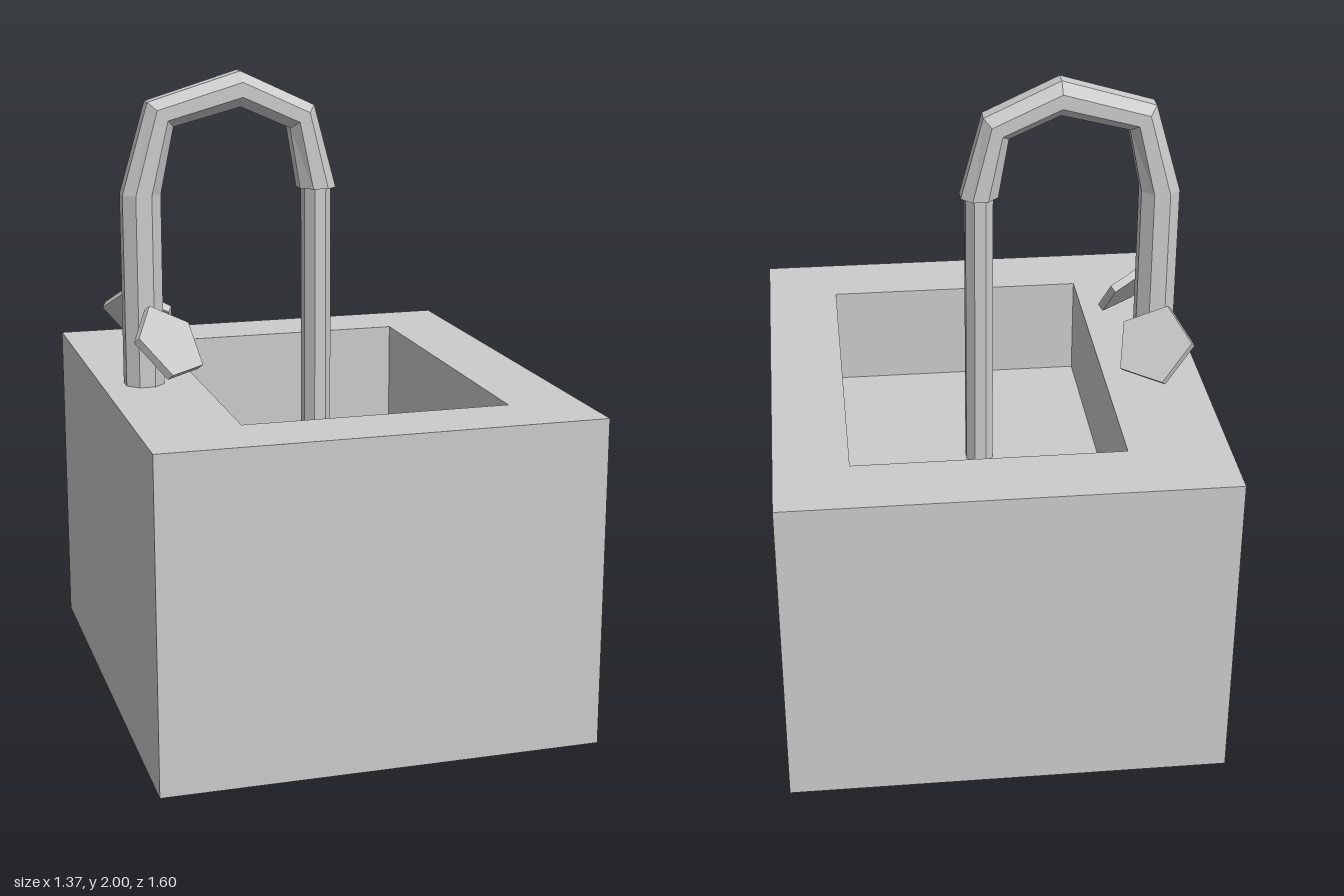
import * as THREE from 'three';

const material = new THREE.MeshStandardMaterial({
  color: 0xcccccc, flatShading: true, side: THREE.DoubleSide,
});

function part(name, geometry) {
  const mesh = new THREE.Mesh(geometry, material);
  mesh.name = name;
  return mesh;
}

// Four upright walls around a rectangle, open above and below
function walls(x0, x1, z0, z1, y0, y1) {
  return new THREE.CylinderGeometry(Math.SQRT1_2, Math.SQRT1_2, 1, 4, 1, true)
    .rotateY(Math.PI / 4)
    .scale(x1 - x0, y1 - y0, z1 - z0)
    .translate((x0 + x1) / 2, (y0 + y1) / 2, (z0 + z1) / 2);
}

function rectangle(target, x0, x1, z0, z1) {
  target.moveTo(x0, z0).lineTo(x1, z0).lineTo(x1, z1).lineTo(x0, z1).closePath();
  return target;
}

// Octagonal pipe between an outer and an inner rail: [outerX, outerY, innerX, innerY]
function pipe(rails, halfDepth) {
  const sides = 8, positions = [], index = [];
  const k = 1 / Math.cos(Math.PI / sides);
  rails.forEach(([ox, oy, ix, iy], r) => {
    for (let i = 0; i < sides; i++) {
      const a = ((i + 0.5) / sides) * Math.PI * 2;
      const c = 0.5 * k * Math.cos(a);
      positions.push((ox + ix) / 2 + (ox - ix) * c, (oy + iy) / 2 + (oy - iy) * c,
        halfDepth * k * Math.sin(a));
      if (r === 0) continue;
      const j = (i + 1) % sides, b = r * sides, p = b - sides;
      index.push(p + i, b + i, p + j, p + j, b + i, b + j);
    }
  });
  const g = new THREE.BufferGeometry();
  g.setAttribute('position', new THREE.Float32BufferAttribute(positions, 3));
  g.setIndex(index);
  g.computeVertexNormals();
  return g;
}

export function createModel() {
  const model = new THREE.Group();
  const X = 0.683, Z = 0.8, TOP = 1.03, FLOOR = 0.7;
  const bx0 = -0.375, bx1 = 0.455, bz = 0.57;

  // Cabinet, open underneath
  model.add(part('cabinetWalls', walls(-X, X, -Z, Z, 0, TOP)));
  const top = rectangle(new THREE.Shape(), -X, X, -Z, Z);
  top.holes.push(rectangle(new THREE.Path(), bx0, bx1, -bz, bz));
  model.add(part('countertop',
    new THREE.ShapeGeometry(top).rotateX(-Math.PI / 2).translate(0, TOP, 0)));

  // Basin
  model.add(part('basinWalls', walls(bx0, bx1, -bz, bz, FLOOR, TOP)));
  model.add(part('basinFloor', new THREE.PlaneGeometry(bx1 - bx0, bz * 2)
    .rotateX(-Math.PI / 2).translate((bx0 + bx1) / 2, FLOOR, 0)));

  // Curved faucet
  model.add(part('faucet', pipe([
    [-0.608, TOP, -0.488, TOP],
    [-0.608, 1.63, -0.488, 1.63],
    [-0.525, 1.912, -0.445, 1.835],
    [-0.233, 2.0, -0.233, 1.89],
    [0.003, 1.89, -0.075, 1.82],
    [0.073, 1.63, -0.043, 1.63],
  ], 0.06)));

  // Water column falling into the basin
  const k = 1 / Math.cos(Math.PI / 8);
  model.add(part('waterStream', new THREE.CylinderGeometry(k, k, 1.63 - FLOOR, 8, 1, true)
    .rotateY(Math.PI / 8)
    .scale(0.043, 1, 0.052)
    .translate(0.015, (1.63 + FLOOR) / 2, 0)));

  // Tilted five-sided tap handles, mirrored front to back
  const normal = new THREE.Vector3(0.5, 0.61, 0.61).normalize();
  const corner = new THREE.Vector3(-0.053, 0.1, -0.059);
  corner.addScaledVector(normal, -corner.dot(normal)).normalize();
  const side = new THREE.Vector3().crossVectors(normal, corner);
  const handle = new THREE.CylinderGeometry(0.128, 0.128, 0.026, 5)
    .applyMatrix4(new THREE.Matrix4().makeBasis(side, normal, corner));
  for (const [name, z, s] of [['frontHandle', 0.202, 1], ['backHandle', -0.229, -1]]) {
    const mesh = part(name, handle);
    mesh.position.set(-0.51, 1.2, z);
    mesh.scale.z = s;
    model.add(mesh);
  }

  return model;
}
